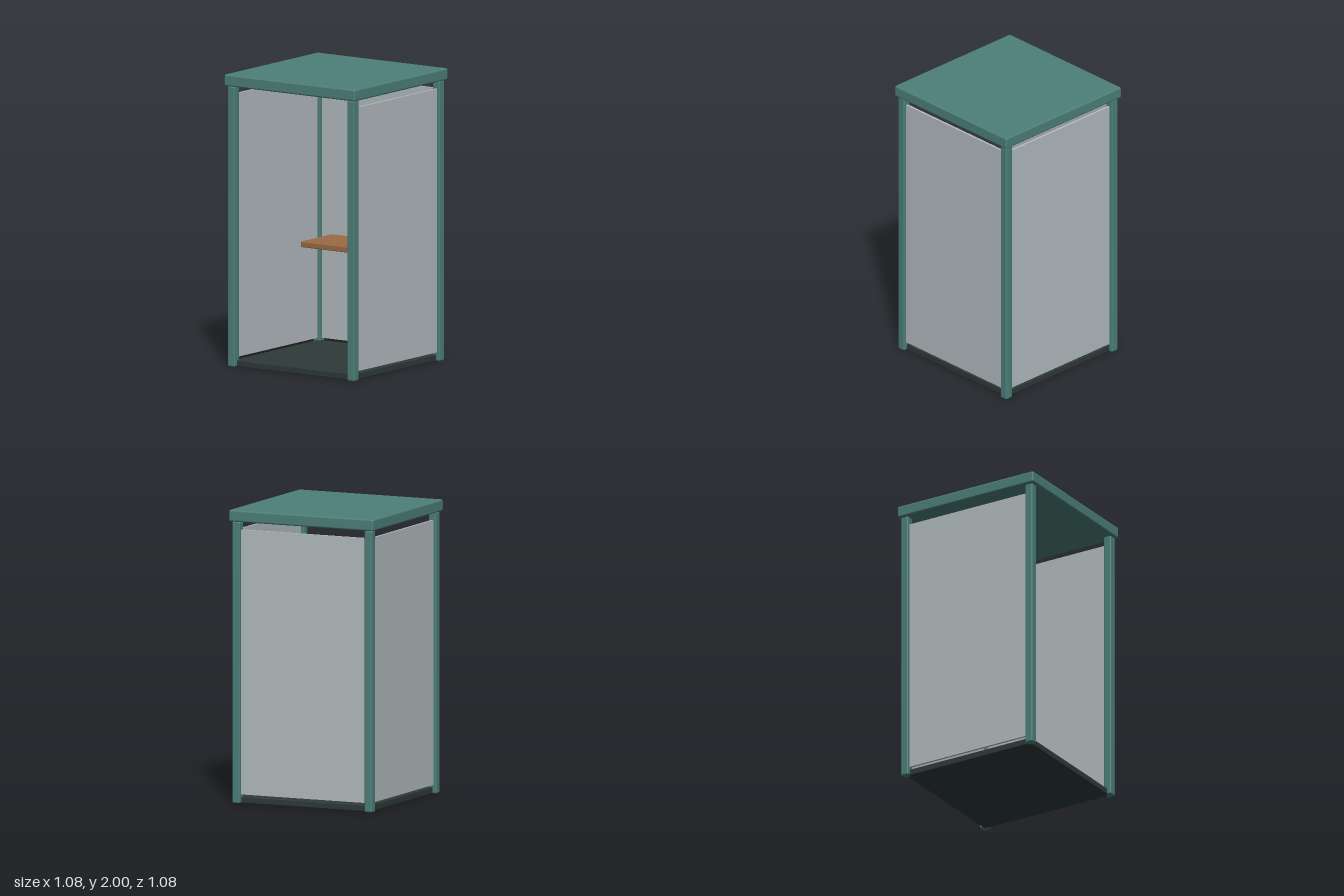
import * as THREE from 'three';
import { RoundedBoxGeometry } from 'three/addons/geometries/RoundedBoxGeometry.js';

export function createModel() {
  const group = new THREE.Group();
  group.name = 'booth';

  const paint = (name, color) => {
    const m = new THREE.MeshStandardMaterial({ color });
    m.name = name;
    return m;
  };
  const teal = paint('teal paint', 0x4d8079);
  const glass = paint('pale grey panel', 0xb3bcbf);
  const dark = paint('dark floor', 0x2e3a38);
  const wood = paint('brown wood', 0x9c6b45);

  // Bevelled box placed by its centre
  const box = (name, material, size, pos, radius) => {
    const geometry = radius
      ? new RoundedBoxGeometry(...size, 2, radius)
      : new THREE.BoxGeometry(...size);
    const mesh = new THREE.Mesh(geometry, material);
    mesh.name = name;
    mesh.position.set(...pos);
    group.add(mesh);
  };

  const C = 0.496; // post centre line

  box('floor', dark, [2 * C, 0.045, 2 * C], [0, 0.0225, 0], 0.006);
  box('roof', teal, [1.084, 0.08, 1.084], [0, 1.96, 0], 0.012);

  // Corner posts
  for (const [sx, side] of [[1, 'left'], [-1, 'right']]) {
    for (const [sz, end] of [[1, 'Front'], [-1, 'Back']]) {
      box(`${side}${end}Post`, teal, [0.058, 1.92, 0.058], [sx * C, 0.96, sz * C], 0.01);
    }
  }

  // Side and back panels, open at the front
  const h = 1.805, y = 0.06 + h / 2, w = 0.95, t = 0.016;
  box('leftPanel', glass, [t, h, w], [C, y, 0]);
  box('rightPanel', glass, [t, h, w], [-C, y, 0]);
  box('backPanel', glass, [w, h, t], [0, y, -C]);

  // Shelf near the back wall
  box('shelf', wood, [0.694, 0.04, 0.36], [0, 0.77, -0.255], 0.006);

  return group;
}
